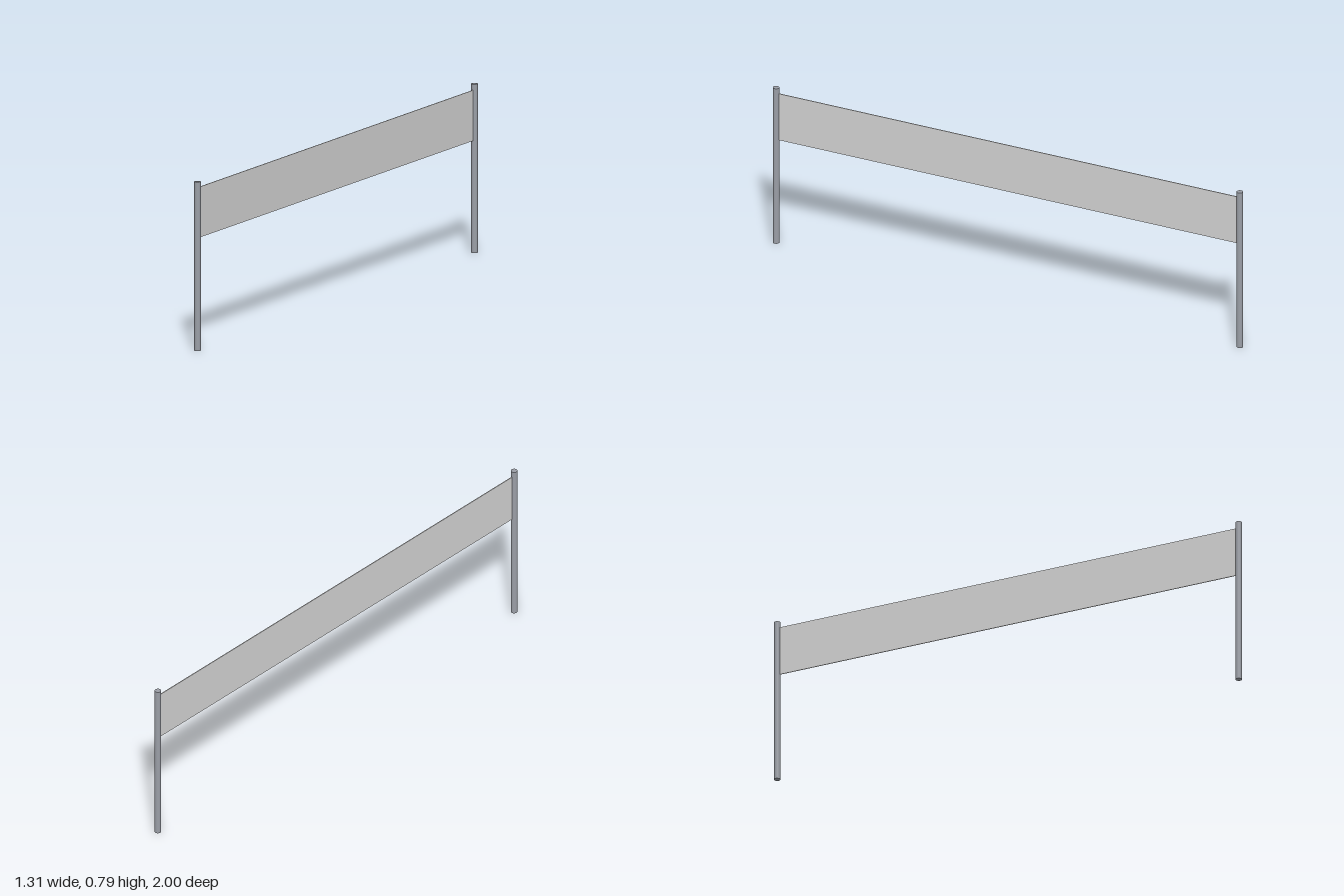
import * as THREE from 'three';

export function createModel() {
  const group = new THREE.Group();
  group.name = 'netWithPosts';

  const postGrey = new THREE.MeshStandardMaterial({ color: 0x9a9ea6 });
  postGrey.name = 'post grey';
  const netGrey = new THREE.MeshStandardMaterial({ color: 0xd3d3d3 });
  netGrey.name = 'net light grey';

  const X = 0.64, Z = 0.985, R = 0.015, H = 0.785;

  // Two round posts at opposite corners
  const postGeometry = new THREE.CylinderGeometry(R, R, H, 16);
  for (const s of [1, -1]) {
    const post = new THREE.Mesh(postGeometry, postGrey);
    post.name = s > 0 ? 'leftPost' : 'rightPost';
    post.position.set(s * X, H / 2, -s * Z);
    group.add(post);
  }

  // Thin net stretched diagonally between the posts
  const bottom = 0.522, top = 0.757;
  const length = 2 * (Math.hypot(X, Z) - R * 0.9);
  const net = new THREE.Mesh(new THREE.BoxGeometry(length, top - bottom, 0.004), netGrey);
  net.name = 'net';
  net.position.y = (top + bottom) / 2;
  net.rotation.y = Math.atan2(Z, X);
  group.add(net);

  return group;
}
